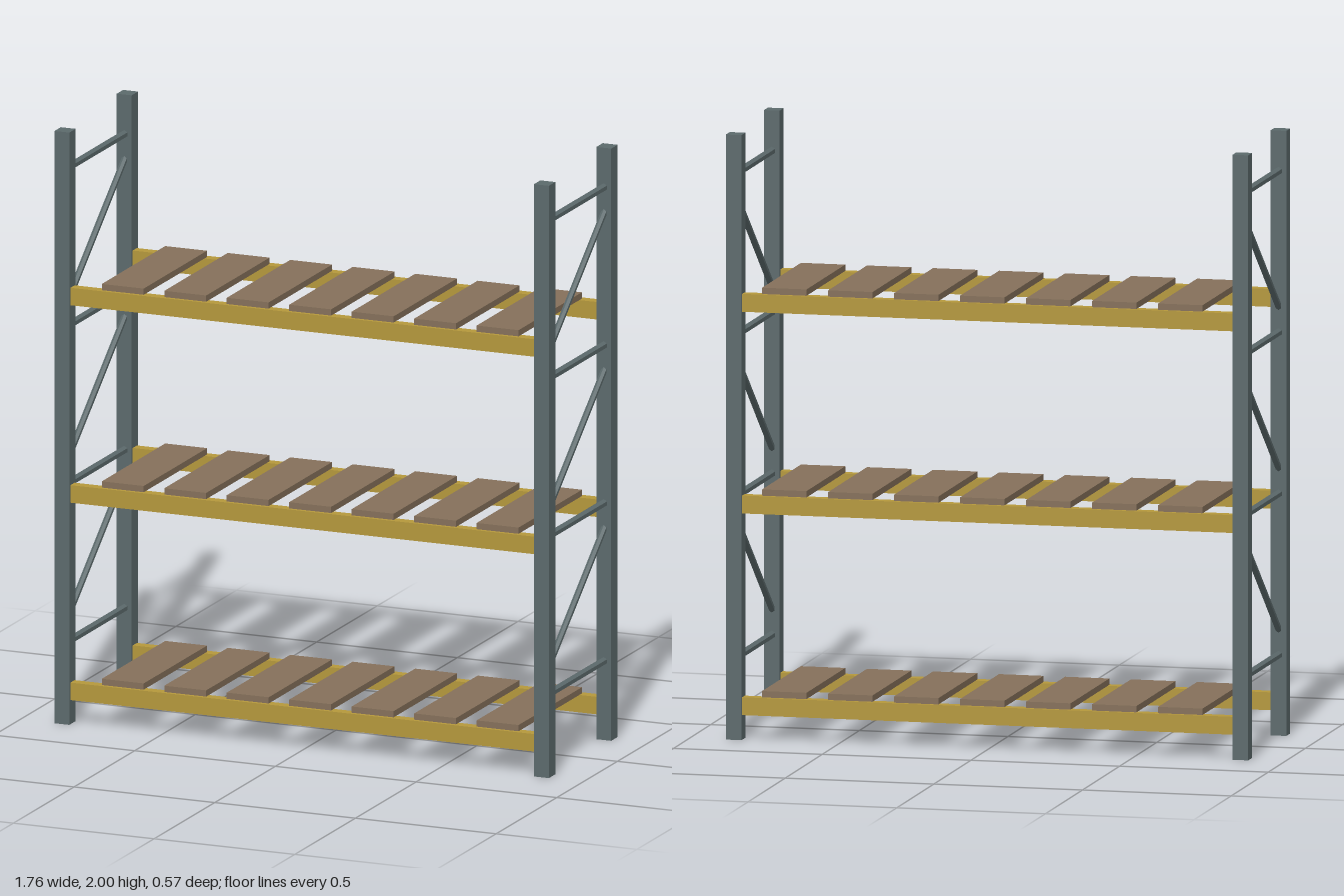
import * as THREE from 'three';

const POST_X = 0.852, POST_Z = 0.257;

function material(name, color) {
  const m = new THREE.MeshStandardMaterial({ color });
  m.name = name;
  return m;
}

export function createModel() {
  const steel = material('greySteel', 0x5c6a6c);
  const yellow = material('yellowBeam', 0xb5983c);
  const wood = material('brownBoard', 0x85705a);
  // six-sided braces keep crisp facets
  steel.flatShading = true;

  const root = new THREE.Group();
  root.name = 'storageRack';

  function add(parent, name, geometry, mat, x, y, z) {
    const mesh = new THREE.Mesh(geometry, mat);
    mesh.name = name;
    mesh.position.set(x, y, z);
    parent.add(mesh);
    return mesh;
  }

  // End frames: two posts, four level braces and three diagonals each
  const post = new THREE.BoxGeometry(0.053, 2, 0.053);
  const brace = new THREE.CylinderGeometry(0.0133, 0.0133, 2 * POST_Z, 6);
  const rise = 0.4;
  const diagonal = new THREE.CylinderGeometry(0.0107, 0.0107, Math.hypot(rise, 2 * POST_Z), 6);
  for (const side of [-1, 1]) {
    const frame = new THREE.Group();
    frame.name = side > 0 ? 'leftFrame' : 'rightFrame';
    frame.position.x = side * POST_X;
    root.add(frame);
    add(frame, 'frontPost', post, steel, 0, 1, POST_Z);
    add(frame, 'backPost', post, steel, 0, 1, -POST_Z);
    for (let i = 0; i < 4; i++) {
      add(frame, 'levelBrace', brace, steel, 0, 0.267 + i * 0.5333, 0).rotation.x = Math.PI / 2;
    }
    // diagonals climb towards the back
    for (let i = 0; i < 3; i++) {
      add(frame, 'diagonalBrace', diagonal, steel, 0, 0.533 + i * 0.5333, 0)
        .rotation.x = -Math.atan2(2 * POST_Z, rise);
    }
  }

  // Shelves: front and back beams carrying seven boards
  const beam = new THREE.BoxGeometry(1.66, 0.059, 0.035);
  const board = new THREE.BoxGeometry(0.149, 0.021, 0.523);
  for (let level = 0; level < 3; level++) {
    const shelf = new THREE.Group();
    shelf.name = 'shelf';
    shelf.position.y = 0.111 + level * 0.6667;
    root.add(shelf);
    add(shelf, 'frontBeam', beam, yellow, 0, 0, POST_Z);
    add(shelf, 'backBeam', beam, yellow, 0, 0, -POST_Z);
    for (let i = -3; i <= 3; i++) {
      add(shelf, 'board', board, wood, 0.021 + i * 0.222, 0.04, 0);
    }
  }
  return root;
}
